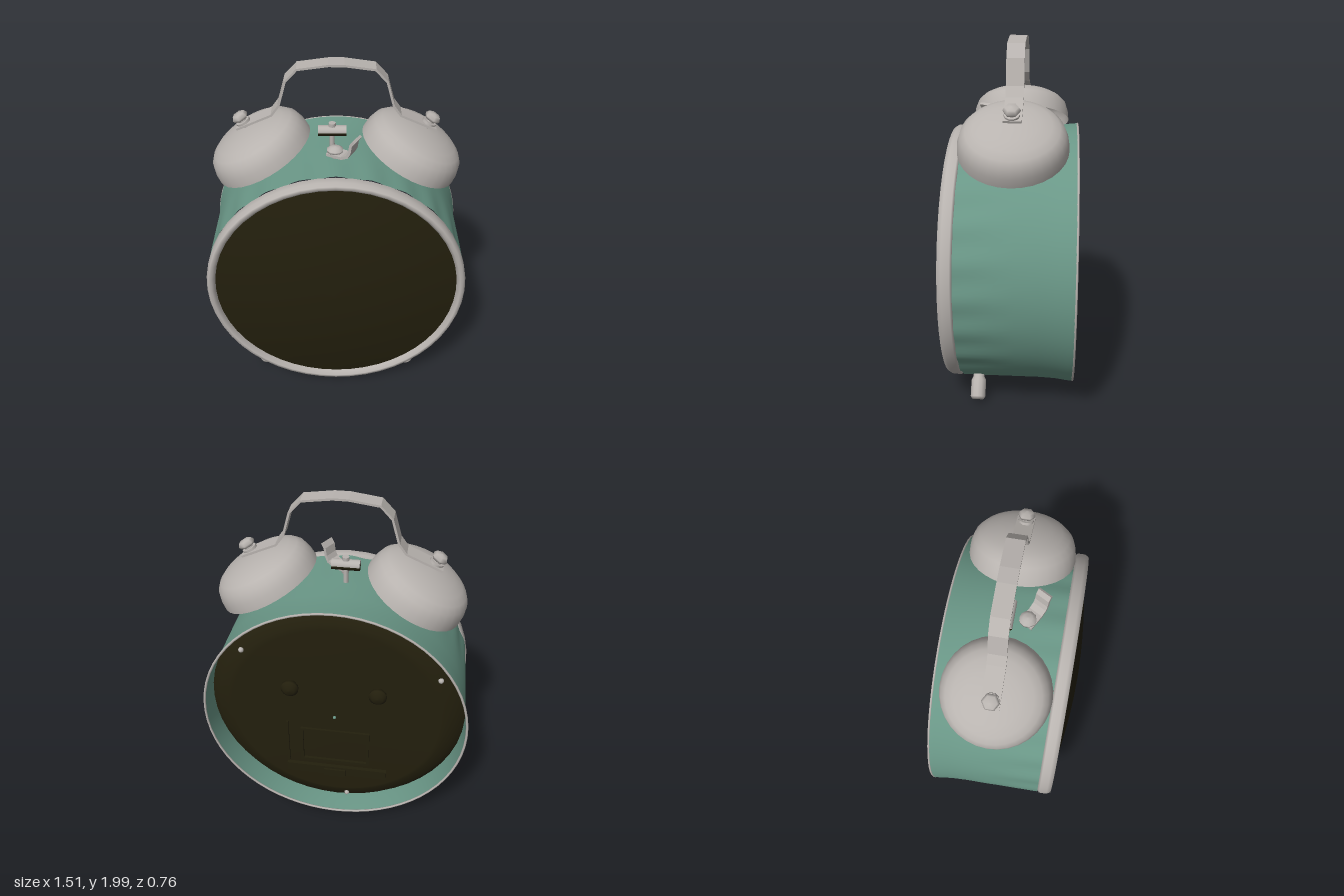
import * as THREE from 'three';

const CY = 0.76; // height of the clock's centre

export function createModel() {
  const model = new THREE.Group();
  const mat = (name, color, side = THREE.FrontSide) => {
    const m = new THREE.MeshStandardMaterial({ color, side });
    m.name = name;
    return m;
  };
  const teal = mat('teal enamel', 0x6a9787, THREE.DoubleSide);
  const metal = mat('warm grey metal', 0xb8b3af, THREE.DoubleSide);
  const dark = mat('dark olive', 0x231f0d);

  const add = (name, geometry, material, parent = model, x = 0, y = 0, z = 0) => {
    const mesh = new THREE.Mesh(geometry, material);
    mesh.name = name;
    mesh.position.set(x, y, z);
    parent.add(mesh);
    return mesh;
  };
  const lathe = (pts, seg) => new THREE.LatheGeometry(pts.map(([r, y]) => new THREE.Vector2(r, y)), seg);
  // Lathe whose axis is z
  const ring = (pts, seg = 48) => lathe(pts, seg).rotateX(Math.PI / 2);

  // Case: a drum flared at the back, with flutes that fade away from the front
  const body = ring([[0.75, -0.37], [0.748, -0.34], [0.739, -0.27], [0.735, -0.18], [0.735, -0.06],
    [0.735, 0.04], [0.735, 0.14], [0.734, 0.25]], 144);
  const p = body.attributes.position;
  for (let i = 0; i < p.count; i++) {
    const x = p.getX(i), y = p.getY(i);
    const fade = THREE.MathUtils.smoothstep(p.getZ(i), -0.1, 0.25);
    const k = 1 - 0.007 * fade * (1 - Math.cos(24 * Math.atan2(x, -y)));
    p.setX(i, x * k);
    p.setY(i, y * k);
  }
  body.computeVertexNormals();
  add('case', body, teal, model, 0, CY);

  add('backRim', new THREE.TorusGeometry(0.746, 0.007, 6, 64), metal, model, 0, CY, -0.37);
  add('bezel', ring([[0.7, 0.25], [0.725, 0.25], [0.735, 0.262], [0.735, 0.305], [0.722, 0.328],
    [0.704, 0.33], [0.688, 0.312], [0.685, 0.28]]), metal, model, 0, CY);

  // Domed front
  const dome = [];
  for (let i = 0; i <= 8; i++) {
    const r = 0.69 * (1 - i / 8);
    dome.push([r, 0.38 - 0.082 * (r / 0.69) ** 2]);
  }
  add('frontGlass', ring(dome), dark, model, 0, CY);

  // Recessed back panel and its details
  add('backPanel', ring([[0, -0.315], [0.6, -0.31], [0.63, -0.295], [0.68, -0.285], [0.735, -0.23]]), dark, model, 0, CY);
  for (const s of [-1, 1]) {
    add('windingKnob', ring([[0, -0.38], [0.03, -0.376], [0.05, -0.36], [0.048, -0.34], [0.03, -0.325], [0.03, -0.3]], 16),
      dark, model, s * 0.245, 0.975);
  }
  add('settingPeg', new THREE.SphereGeometry(0.01, 8, 6), teal, model, 0, CY, -0.322);
  for (const deg of [38, 151, 264]) {
    const a = THREE.MathUtils.degToRad(deg);
    add('panelScrew', new THREE.SphereGeometry(0.016, 8, 6), metal, model, 0.66 * Math.cos(a), CY + 0.66 * Math.sin(a), -0.292);
  }
  const box = (name, w, h, d, x, y) => add(name, new THREE.BoxGeometry(w, h, d), dark, model, x, y, -0.315);
  for (const s of [-1, 1]) {
    box('doorFrameSide', 0.015, 0.25, 0.024, s * 0.195, 0.525);
    box('doorFrameEdge', 0.4, 0.015, 0.024, 0, 0.525 + s * 0.12);
  }
  box('panelLedge', 0.6, 0.06, 0.036, -0.01, 0.33);
  box('panelLatch', 0.13, 0.05, 0.056, 0, 0.32);
  box('panelSeam', 0.012, 0.32, 0.018, 0.28, 0.53);

  // Feet, bells, posts and screws, mirrored
  for (const s of [-1, 1]) {
    const foot = add('foot', lathe([[0, -0.085], [0.032, -0.085], [0.042, -0.07], [0.042, 0.02], [0.032, 0.04], [0.032, 0.13]], 12),
      metal, model, s * 0.417, 0.095, 0.16);
    foot.rotation.z = s * 0.63;

    const bell = new THREE.Group();
    bell.name = s > 0 ? 'leftBell' : 'rightBell';
    bell.position.set(s * 0.395, 1.465, -0.035);
    bell.rotation.z = -s * 0.487;
    model.add(bell);
    add('bellShell', lathe([[0.288, 0], [0.284, 0.05], [0.268, 0.1], [0.24, 0.13], [0.2, 0.153],
      [0.14, 0.172], [0.07, 0.184], [0, 0.187]], 32), metal, bell);
    add('bellPost', new THREE.CylinderGeometry(0.02, 0.02, 0.32, 10), metal, bell, 0, 0.03);
    add('screwWasher', new THREE.CylinderGeometry(0.04, 0.04, 0.018, 10), metal, bell, 0, 0.215);
    add('screwNeck', new THREE.CylinderGeometry(0.024, 0.024, 0.06, 10), metal, bell, 0, 0.22);
    add('screwHead', lathe([[0, 0.236], [0.04, 0.236], [0.046, 0.25], [0.035, 0.268], [0, 0.274]], 6), metal, bell);
  }

  // Flat strip following a path in xy, extruded along z
  const strip = (pts, thick, width) => {
    const v = pts.map(([x, y]) => new THREE.Vector2(x, y));
    const side = (d) => v.map((q, i) => {
      const t = v[Math.min(i + 1, v.length - 1)].clone().sub(v[Math.max(i - 1, 0)]).normalize();
      return new THREE.Vector2(q.x - t.y * d, q.y + t.x * d);
    });
    const shape = new THREE.Shape([...side(-thick / 2), ...side(thick / 2).reverse()]);
    return new THREE.ExtrudeGeometry(shape, { depth: width, bevelEnabled: false }).translate(0, 0, -width / 2);
  };
  const half = [[-0.53, 1.63], [-0.49, 1.648], [-0.34, 1.715], [-0.3, 1.77], [-0.262, 1.905], [-0.2, 1.972]];
  const path = [...half, [-0.04, 1.994], [0.04, 1.994], ...half.map(([x, y]) => [-x, y]).reverse()];
  add('handle', strip(path, 0.012, 0.094), metal, model, 0, 0, -0.038);

  // Hammer between the bells
  add('hammerStem', new THREE.CylinderGeometry(0.014, 0.014, 0.16, 8), metal, model, -0.022, 1.565, -0.035);
  add('hammerStemTip', new THREE.CylinderGeometry(0.02, 0.02, 0.02, 8), metal, model, -0.022, 1.64, -0.035);
  const halfBar = (start) => new THREE.CylinderGeometry(0.03, 0.03, 0.152, 8, 1, false, start, Math.PI).rotateZ(Math.PI / 2);
  add('hammerHeadTop', halfBar(0), metal, model, -0.022, 1.602, -0.035);
  add('hammerHeadBottom', halfBar(Math.PI), dark, model, -0.022, 1.602, -0.035);

  // Alarm stop lever and its button
  const lever = add('stopLever', strip([[-0.04, 1.525], [0.05, 1.527], [0.085, 1.545], [0.1, 1.575], [0.107, 1.62], [0.125, 1.645]], 0.016, 0.08),
    metal, model, 0, 0, 0.07);
  lever.rotation.y = -0.5;
  add('stopButton', lathe([[0.02, 1.48], [0.02, 1.53], [0.045, 1.532], [0.045, 1.545], [0.025, 1.558], [0, 1.562]], 10), metal, model, -0.005, 0, 0.06);

  return model;
}
